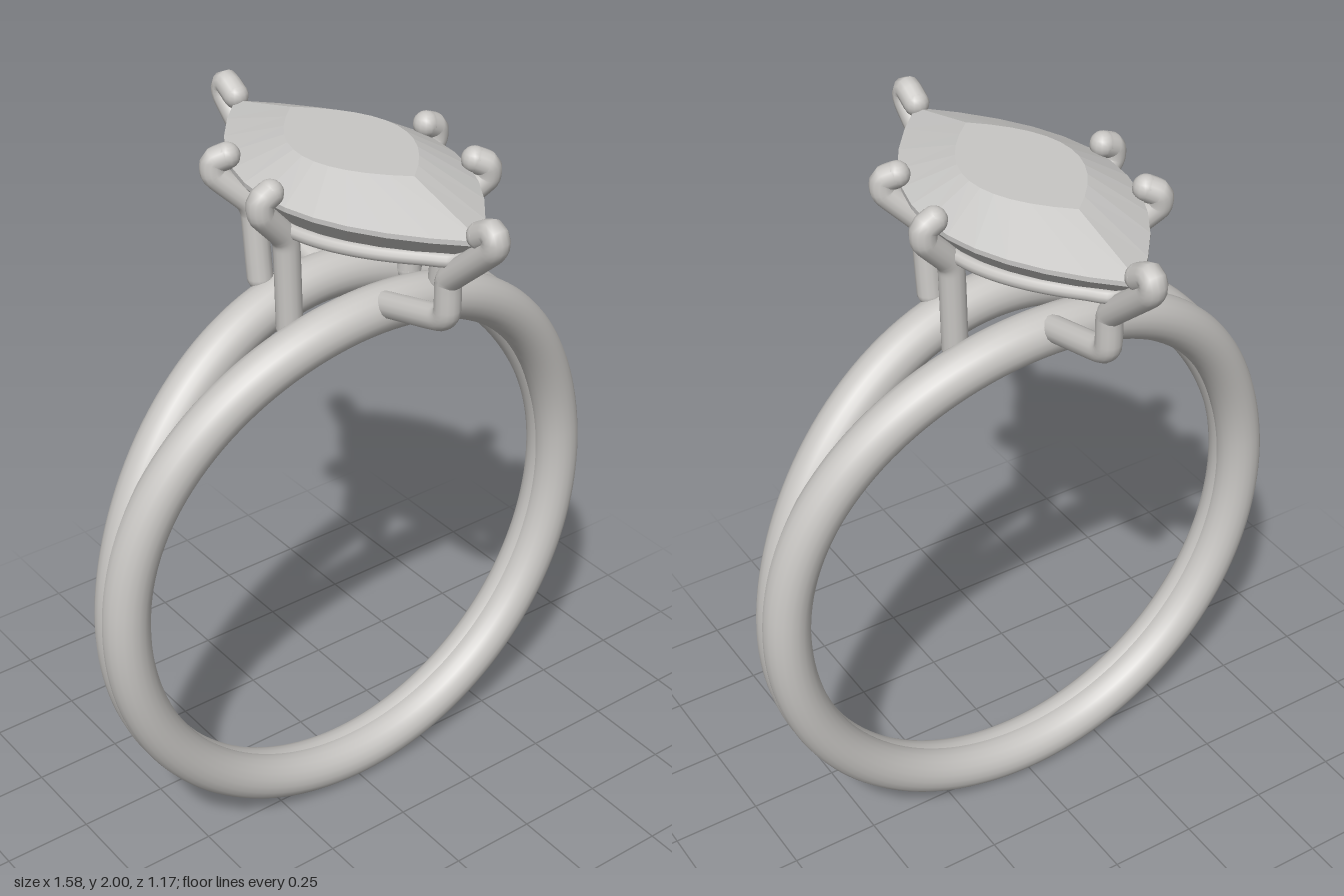
import * as THREE from 'three';

const metal = new THREE.MeshStandardMaterial({ color: 0xc8c6c3 });
metal.name = 'metal';
const gem = new THREE.MeshStandardMaterial({ color: 0xc8c7c5, flatShading: true });
gem.name = 'gem';

function addMesh(parent, name, geometry, material = metal) {
  const mesh = new THREE.Mesh(geometry, material);
  mesh.name = name;
  parent.add(mesh);
  return mesh;
}

// Round wire through points, softly bent, with ball ends
function wire(name, points, radius) {
  const group = new THREE.Group();
  group.name = name;
  const pts = points.map((p) => new THREE.Vector3(...p));
  const curve = new THREE.CatmullRomCurve3(pts, false, 'catmullrom', 0.25);
  addMesh(group, name + 'Wire', new THREE.TubeGeometry(curve, 60, radius, 14));
  for (const p of [pts[0], pts[pts.length - 1]]) {
    addMesh(group, name + 'End', new THREE.SphereGeometry(radius, 14, 10)).position.copy(p);
  }
  return group;
}

// Half of the split band: an upright loop that swings outward near the top
function bandStrand(side) {
  const pts = [];
  const n = 72;
  for (let i = 0; i < n; i++) {
    const a = -Math.PI + (i / n) * Math.PI * 2;
    const spread = 1 - THREE.MathUtils.smoothstep(Math.abs(a), 0, 1.45);
    pts.push(new THREE.Vector3(
      0.727 * Math.sin(a),
      0.822 + 0.757 * Math.cos(a),
      side * (0.015 + 0.095 * spread)
    ));
  }
  return new THREE.TubeGeometry(new THREE.CatmullRomCurve3(pts, true), 144, 0.064, 20, true);
}

// Pointed oval outline, clockwise from above
function marquise(halfX, halfZ, y, perSide) {
  const pts = [];
  for (const s of [1, -1]) {
    for (let i = 0; i < perSide; i++) {
      const u = -1 + (2 * i) / perSide;
      pts.push(new THREE.Vector3(s * halfX * (1 - u * u), y, s * halfZ * u));
    }
  }
  return pts;
}

// Faceted stone lofted through marquise sections from table to point
function stoneGeometry() {
  const sections = [
    [0, 0, 1.995], [0.145, 0.25, 1.995], [0.265, 0.5, 1.925],
    [0.265, 0.5, 1.912], [0.21, 0.395, 1.848], [0, 0, 1.715],
  ];
  const rings = sections.map(([x, z, y]) => marquise(x, z, y, 12));
  const verts = [];
  const tri = (...ps) => ps.forEach((p) => verts.push(p.x, p.y, p.z));
  for (let k = 0; k < rings.length - 1; k++) {
    const a = rings[k], b = rings[k + 1];
    for (let i = 0; i < a.length; i++) {
      const j = (i + 1) % a.length;
      if (sections[k][0] > 0) tri(b[i], a[i], a[j]);
      if (sections[k + 1][0] > 0) tri(b[i], a[j], b[j]);
    }
  }
  const geo = new THREE.BufferGeometry();
  geo.setAttribute('position', new THREE.Float32BufferAttribute(verts, 3));
  geo.computeVertexNormals();
  return geo;
}

export function createModel() {
  const ring = new THREE.Group();
  ring.name = 'ring';

  // Split band
  addMesh(ring, 'frontBand', bandStrand(1));
  addMesh(ring, 'backBand', bandStrand(-1));

  // Stone
  addMesh(ring, 'stone', stoneGeometry(), gem);

  // Rail under the stone
  const railCurve = new THREE.CatmullRomCurve3(marquise(0.22, 0.4, 1.838, 16), true);
  addMesh(ring, 'galleryRail', new THREE.TubeGeometry(railCurve, 120, 0.018, 10, true));

  // Prongs repeat with a half turn about the vertical axis
  for (const s of [1, -1]) {
    const turn = (pts) => pts.map(([x, y, z]) => [s * x, y, s * z]);
    ring.add(wire('endProng', turn([
      [0, 1.94, 0.495], [0, 1.963, 0.535], [0, 1.95, 0.55], [0, 1.92, 0.54],
      [0, 1.79, 0.395], [0, 1.765, 0.385], [0, 1.69, 0.383], [0, 1.662, 0.35], [0, 1.595, 0.1],
    ]), 0.034));
    ring.add(wire('outerProng', turn([
      [0.235, 1.62, 0.14].map((v, i) => (i === 0 ? 0.18 : v)), [0.18, 1.66, 0.145],
      [0.18, 1.79, 0.16], [0.195, 1.83, 0.165], [0.262, 1.9, 0.205],
      [0.262, 1.935, 0.208], [0.235, 1.95, 0.19],
    ]), 0.034));
    ring.add(wire('innerProng', turn([
      [0.215, 1.565, -0.035], [0.22, 1.79, -0.035], [0.235, 1.83, -0.037],
      [0.298, 1.9, -0.045], [0.3, 1.935, -0.045], [0.27, 1.95, -0.043],
    ]), 0.034));
  }
  return ring;
}
